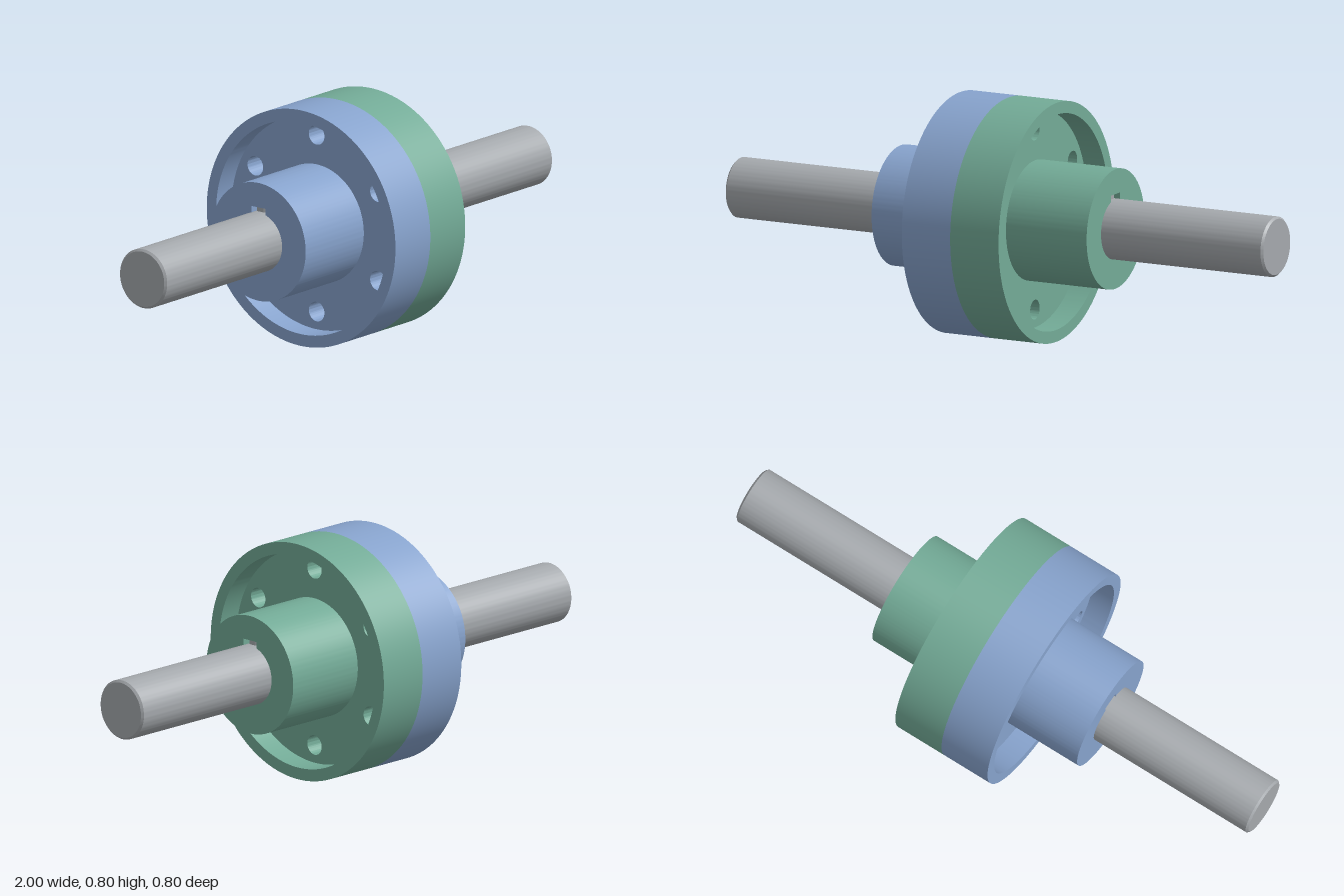
import * as THREE from 'three';
import { toCreasedNormals } from 'three/addons/utils/BufferGeometryUtils.js';

const AXIS_Y = 0.4, SHAFT_R = 0.1, KEY_HALF = 0.03, KEY_TOP = 0.117;

const material = (name, color) => {
  const m = new THREE.MeshStandardMaterial({ color });
  m.name = name;
  return m;
};

const disc = (r) => new THREE.Shape().absarc(0, 0, r, 0, Math.PI * 2, false);
const hole = (x, y, r) => new THREE.Path().absarc(x, y, r, 0, Math.PI * 2, true);

// Shaft bore with a square keyway at the top
function keyedBore() {
  const a = Math.asin(KEY_HALF / SHAFT_R);
  const p = new THREE.Path();
  p.moveTo(KEY_HALF, KEY_TOP);
  p.lineTo(KEY_HALF, SHAFT_R * Math.cos(a));
  p.absarc(0, 0, SHAFT_R, Math.PI / 2 - a, Math.PI / 2 + a, true);
  p.lineTo(-KEY_HALF, KEY_TOP);
  p.closePath();
  return p;
}

// Extrude a cross-section from x = 0 along +x
function alongX(shape, length) {
  const g = new THREE.ExtrudeGeometry(shape, { depth: length, bevelEnabled: false, curveSegments: 96 });
  g.rotateY(Math.PI / 2);
  return toCreasedNormals(g, 0.5);
}

function couplingHalf(name, bodyMaterial, steel) {
  const half = new THREE.Group();
  half.name = name;
  const add = (partName, geometry, mat) => {
    const mesh = new THREE.Mesh(geometry, mat);
    mesh.name = partName;
    half.add(mesh);
  };

  // Outer rim standing proud of the web
  const rim = disc(0.4);
  rim.holes.push(hole(0, 0, 0.36));
  add('rim', alongX(rim, 0.18), bodyMaterial);

  // Web with six bolt holes
  const web = disc(0.36);
  web.holes.push(hole(0, 0, 0.2));
  for (let i = 0; i < 6; i++) {
    const a = Math.PI / 2 + i * Math.PI / 3;
    web.holes.push(hole(0.3 * Math.cos(a), 0.3 * Math.sin(a), 0.033));
  }
  add('web', alongX(web, 0.1), bodyMaterial);

  // Hub with keyed bore
  const hub = disc(0.2);
  hub.holes.push(keyedBore());
  add('hub', alongX(hub, 0.4), bodyMaterial);

  // Shaft with chamfered outer end
  const profile = [[0, 0], [SHAFT_R, 0], [SHAFT_R, 0.993], [0.093, 1], [0, 1]]
    .map(([r, h]) => new THREE.Vector2(r, h));
  const shaft = new THREE.LatheGeometry(profile, 96);
  shaft.rotateZ(-Math.PI / 2);
  add('shaft', toCreasedNormals(shaft, 0.5), steel);

  // Round-ended key sunk in the shaft
  const slot = new THREE.Shape();
  slot.absarc(0.36, 0, KEY_HALF, -Math.PI / 2, Math.PI / 2, false);
  slot.absarc(0.05, 0, KEY_HALF, Math.PI / 2, Math.PI * 1.5, false);
  const key = new THREE.ExtrudeGeometry(slot, { depth: 0.057, bevelEnabled: false, curveSegments: 24 });
  key.rotateX(-Math.PI / 2);
  key.translate(0, KEY_TOP - 0.057, 0);
  add('key', toCreasedNormals(key, 0.5), steel);

  half.position.y = AXIS_Y;
  return half;
}

export function createModel() {
  const model = new THREE.Group();
  model.name = 'flangeCoupling';
  const steel = material('steel grey', 0xa5a9ad);
  const left = couplingHalf('leftHalf', material('sea green', 0x73ab97), steel);
  const right = couplingHalf('rightHalf', material('soft blue', 0x87a3cd), steel);
  right.rotation.y = Math.PI;
  model.add(left, right);
  return model;
}
